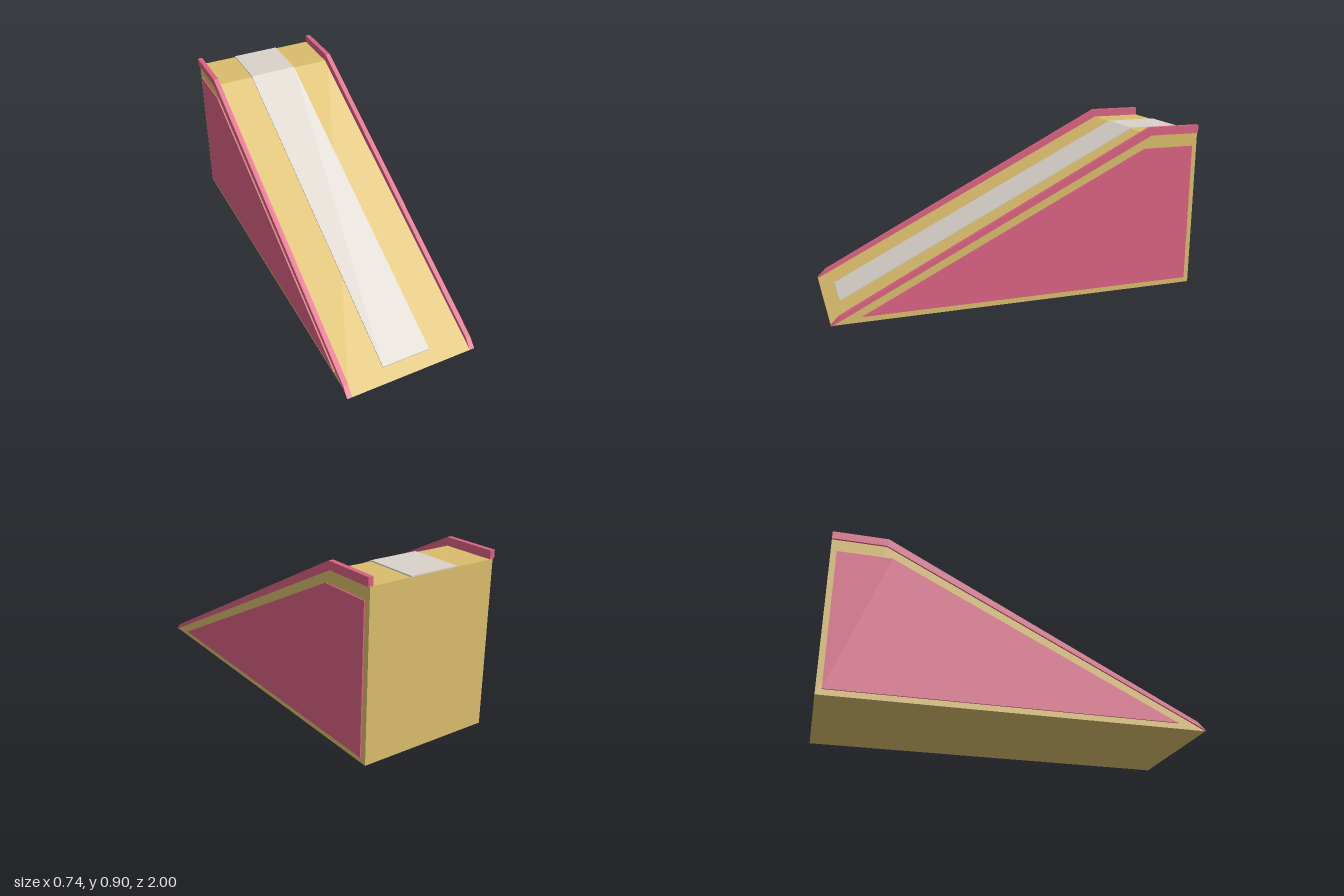
import * as THREE from 'three';

const mat = (name, color) => {
  const m = new THREE.MeshStandardMaterial({ color });
  m.name = name;
  return m;
};

// Extrudes a side profile of [z, y] points across x, from x0 to x1.
function slab(name, profile, x0, x1, material) {
  const shape = new THREE.Shape(profile.map(([z, y]) => new THREE.Vector2(-z, y)));
  const geo = new THREE.ExtrudeGeometry(shape, { depth: x1 - x0, bevelEnabled: false });
  geo.translate(0, 0, x0);
  geo.rotateY(Math.PI / 2);
  const mesh = new THREE.Mesh(geo, material);
  mesh.name = name;
  return mesh;
}

export function createModel() {
  const gold = mat('gold', 0xd9bc6c);
  const pink = mat('pink', 0xda6282);
  const grey = mat('pale grey', 0xd9d2cb);

  const group = new THREE.Group();
  group.name = 'ramp';

  const topY = 0.857, breakZ = -0.718, bodyX = 0.36;
  const slopeY = z => topY * (1 - z) / (1 - breakZ);

  // Solid wedge with a flat landing at the back
  group.add(slab('rampBody', [[1, 0], [breakZ, topY], [-1, topY], [-1, 0]], -bodyX, bodyX, gold));

  // Thin runner up the slope and over the landing
  const t = 0.006, startZ = 0.93;
  group.add(slab('runner', [
    [startZ, slopeY(startZ)], [startZ, slopeY(startZ) + t],
    [breakZ, topY + t], [-1, topY + t], [-1, topY], [breakZ, topY],
  ], -0.135, 0.135, grey));

  // Edge rails and raised side panels
  const rail = [[1, 0], [0.955, 0.045], [-0.712, 0.9], [-1, 0.9], [-1, topY], [breakZ, topY]];
  const panel = [[0.845, 0.03], [-0.685, 0.787], [-0.97, 0.787], [-0.97, 0.03]];
  for (const [side, s] of [['left', 1], ['right', -1]]) {
    const span = (a, b) => (s > 0 ? [a, b] : [-b, -a]);
    group.add(slab(side + 'Rail', rail, ...span(0.343, 0.37), pink));
    group.add(slab(side + 'Panel', panel, ...span(bodyX, 0.367), pink));
  }
  return group;
}
